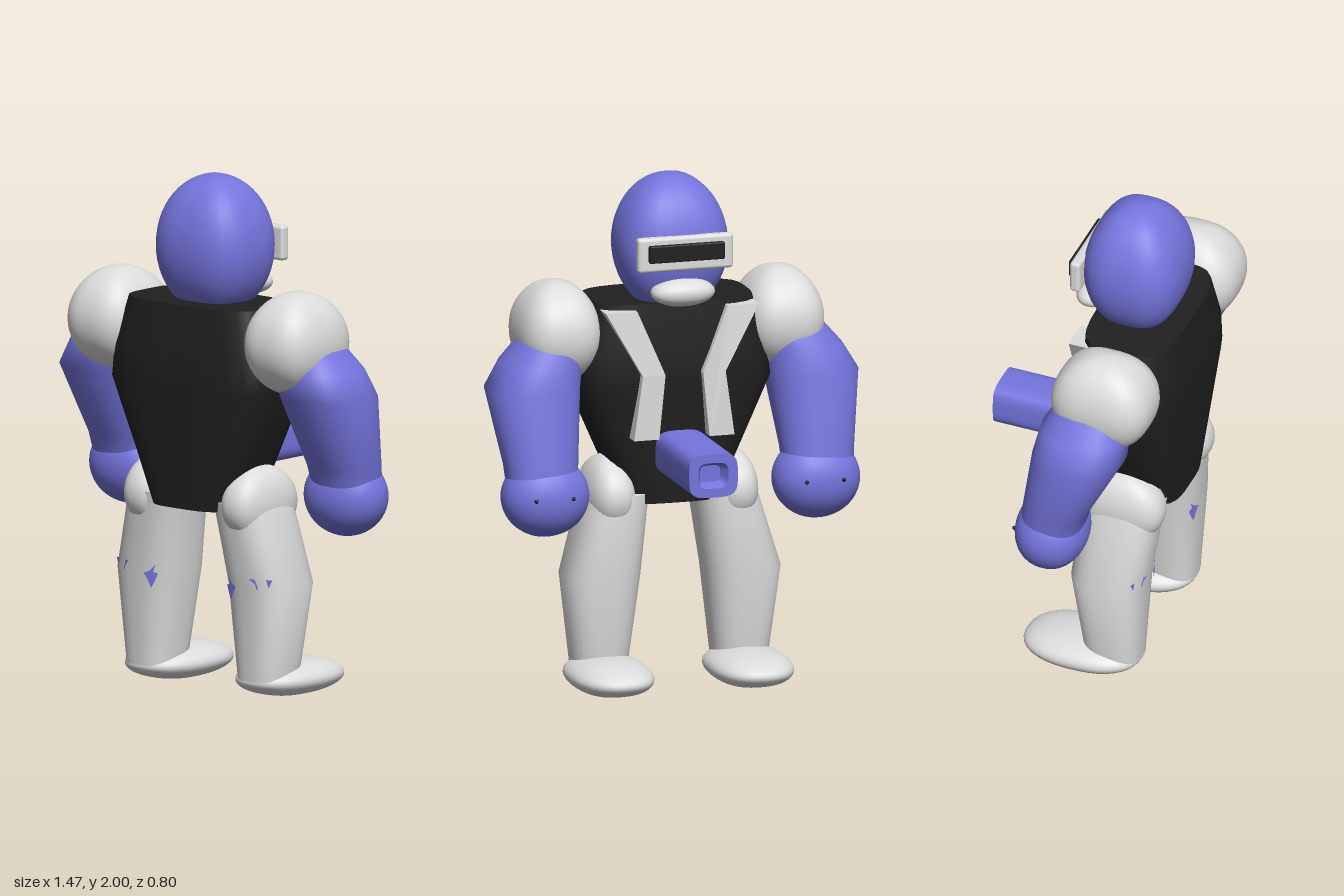
import * as THREE from 'three';
import { mergeVertices } from 'three/addons/utils/BufferGeometryUtils.js';
import { RoundedBoxGeometry } from 'three/addons/geometries/RoundedBoxGeometry.js';

const mat = (name, color, side = THREE.FrontSide) => {
  const m = new THREE.MeshStandardMaterial({ color, side });
  m.name = name;
  return m;
};

// Direction on a squarish unit ring
function ringPoint(a, n) {
  const c = Math.cos(a), s = Math.sin(a);
  const k = Math.pow(Math.abs(c) ** n + Math.abs(s) ** n, -1 / n);
  return [c * k, s * k];
}

// Ellipsoid whose horizontal section is a rounded square
function softBall(rx, ry, rz, n) {
  let g = new THREE.SphereGeometry(1, 40, 28);
  g.deleteAttribute('uv');
  g.deleteAttribute('normal');
  g = mergeVertices(g, 1e-5);
  const p = g.attributes.position;
  for (let i = 0; i < p.count; i++) {
    const r = Math.hypot(p.getX(i), p.getZ(i));
    const [x, z] = ringPoint(Math.atan2(p.getZ(i), p.getX(i)), n);
    p.setXYZ(i, x * r * rx, p.getY(i) * ry, z * r * rz);
  }
  g.computeVertexNormals();
  return g;
}

// Upward loft through rings [y, centreX, centreZ, halfX, halfZ], with flat caps
function loft(rings, n, capBottom = true, capTop = true, seg = 40) {
  const pos = [], idx = [];
  const addRing = ([y, cx, cz, hx, hz]) => {
    for (let j = 0; j < seg; j++) {
      const [x, z] = ringPoint((j / seg) * Math.PI * 2, n);
      pos.push(cx + x * hx, y, cz + z * hz);
    }
  };
  rings.forEach(addRing);
  for (let i = 0; i < rings.length - 1; i++) {
    for (let j = 0; j < seg; j++) {
      const k = (j + 1) % seg, a = i * seg, b = a + seg;
      idx.push(a + j, b + j, a + k, a + k, b + j, b + k);
    }
  }
  const cap = (ring, up) => {
    const s = pos.length / 3;
    addRing(ring);
    pos.push(ring[1], ring[0], ring[2]);
    for (let j = 0; j < seg; j++) {
      const k = (j + 1) % seg;
      idx.push(s + seg, s + (up ? k : j), s + (up ? j : k));
    }
  };
  if (capBottom) cap(rings[0], false);
  if (capTop) cap(rings[rings.length - 1], true);
  const g = new THREE.BufferGeometry();
  g.setAttribute('position', new THREE.Float32BufferAttribute(pos, 3));
  g.setIndex(idx);
  g.computeVertexNormals();
  return g;
}

const polygon = (pts) => new THREE.Shape(pts.map(([x, y]) => new THREE.Vector2(x, y)));

export function createModel() {
  const model = new THREE.Group();
  const blue = mat('blue', 0x7575de);
  const white = mat('white', 0xdcdcdc);
  const black = mat('black', 0x202020);
  const bluePatch = mat('patchBlue', 0x7575de, THREE.DoubleSide);

  const add = (name, geo, material, x = 0, y = 0, z = 0, parent = model) => {
    const m = new THREE.Mesh(geo, material);
    m.name = name;
    m.position.set(x, y, z);
    parent.add(m);
    return m;
  };

  // Torso
  add('torso', loft([
    [0.73, 0, 0.21, 0.18, 0.16],
    [1.2, 0, 0.2, 0.39, 0.2],
    [1.33, 0, 0.2, 0.375, 0.2],
    [1.52, 0, 0.197, 0.315, 0.178],
  ], 4), black);

  // Head, visor and mouth (the figure looks towards -z)
  add('head', softBall(0.215, 0.275, 0.195, 2.8), blue, 0, 1.725, 0.16);
  add('visorFrame', new RoundedBoxGeometry(0.38, 0.135, 0.042, 3, 0.014), white, 0, 1.725, -0.031);
  add('visorScreen', new RoundedBoxGeometry(0.3, 0.068, 0.022, 2, 0.006), black, 0, 1.732, -0.06);
  add('mouth', softBall(0.125, 0.055, 0.07, 2.4), white, 0, 1.567, -0.008);

  // Front tube with a hollow end
  const tube = new THREE.Group();
  tube.name = 'frontTube';
  tube.position.set(0, 0.935, 0);
  tube.rotation.x = -Math.PI / 2;
  model.add(tube);
  add('tubeWall', loft([[-0.1, 0, 0, 0.097, 0.085], [0.403, 0, 0, 0.097, 0.085]], 4, true, false), blue, 0, 0, 0, tube);
  add('tubeRim', loft([[0.403, 0, 0, 0.097, 0.085], [0.403, 0, 0, 0.06, 0.05]], 4, false, false), blue, 0, 0, 0, tube);
  add('tubeHollow', loft([[0.403, 0, 0, 0.06, 0.05], [0.36, 0, 0, 0.04, 0.032]], 4, false, true), blue, 0, 0, 0, tube);

  for (const s of [1, -1]) {
    const side = s > 0 ? 'left' : 'right';
    const X = (rings) => rings.map(([y, cx, cz, hx, hz]) => [y, s * cx, cz, hx, hz]);

    // Arm
    add(side + 'Shoulder', softBall(0.16, 0.2, 0.2, 3), white, s * 0.445, 1.4, 0.2);
    add(side + 'Arm', loft(X([
      [0.84, 0.55, 0.03, 0.135, 0.12],
      [0.92, 0.55, 0.045, 0.142, 0.128],
      [1.2, 0.555, 0.14, 0.18, 0.178],
      [1.3, 0.52, 0.148, 0.155, 0.168],
      [1.38, 0.485, 0.155, 0.12, 0.13],
    ]), 2.3), blue);
    add(side + 'Hand', softBall(0.17, 0.157, 0.138, 2.2), blue, s * 0.54, 0.8, 0.023);
    for (const x of [0.465, 0.613]) {
      add(side + 'HandStud', new THREE.SphereGeometry(0.008, 10, 8), black, s * x, 0.81, -0.106);
    }

    // Leg
    add(side + 'Hip', softBall(0.095, 0.15, 0.175, 2.6), white, s * 0.245, 0.755, 0.187);
    add(side + 'Leg', loft(X([
      [0.08, 0.28, 0.175, 0.105, 0.11],
      [0.45, 0.28, 0.16, 0.15, 0.147],
      [0.77, 0.212, 0.188, 0.122, 0.158],
    ]), 2.6), white);
    add(side + 'Foot', softBall(0.16, 0.07, 0.237, 2.4), white, s * 0.278, 0.075, 0.048);

    // Ragged patches behind the knee
    const outer = add(side + 'OuterKneePatch', new THREE.ShapeGeometry(polygon([
      [-0.048, 0.028], [0.048, 0.028], [0.034, -0.002], [0.022, 0.004],
      [0.012, -0.026], [-0.002, -0.004], [-0.016, -0.012], [-0.024, 0.01],
    ].map(([x, y]) => [s * x, y]))), bluePatch, s * 0.347, 0.458, 0.298);
    outer.rotation.y = s * 0.38;
    const inner = add(side + 'InnerKneePatch', new THREE.ShapeGeometry(polygon([
      [-0.022, 0.045], [-0.012, 0.018], [-0.032, 0.012], [-0.018, -0.02],
      [-0.004, -0.045], [0.012, -0.012], [0.028, 0.012], [0.004, 0.02],
    ].map(([x, y]) => [s * x, y]))), bluePatch, s * 0.205, 0.435, 0.302);
    inner.rotation.y = -s * 0.3;

    // Chest strap, leaning forward as it goes down
    const strap = new THREE.ExtrudeGeometry(polygon([
      [0.18, 1.5], [0.305, 1.5], [0.165, 1.25], [0.2, 1.0], [0.1, 1.0], [0.075, 1.25],
    ].map(([x, y]) => [s * x, y])), { depth: 0.08, bevelEnabled: false });
    const p = strap.attributes.position;
    for (let i = 0; i < p.count; i++) {
      p.setZ(i, p.getZ(i) - 0.03 + Math.max(0, p.getY(i) - 1.25) * 0.09);
    }
    strap.computeVertexNormals();
    add(side + 'ChestStrap', strap, white);
  }
  return model;
}
